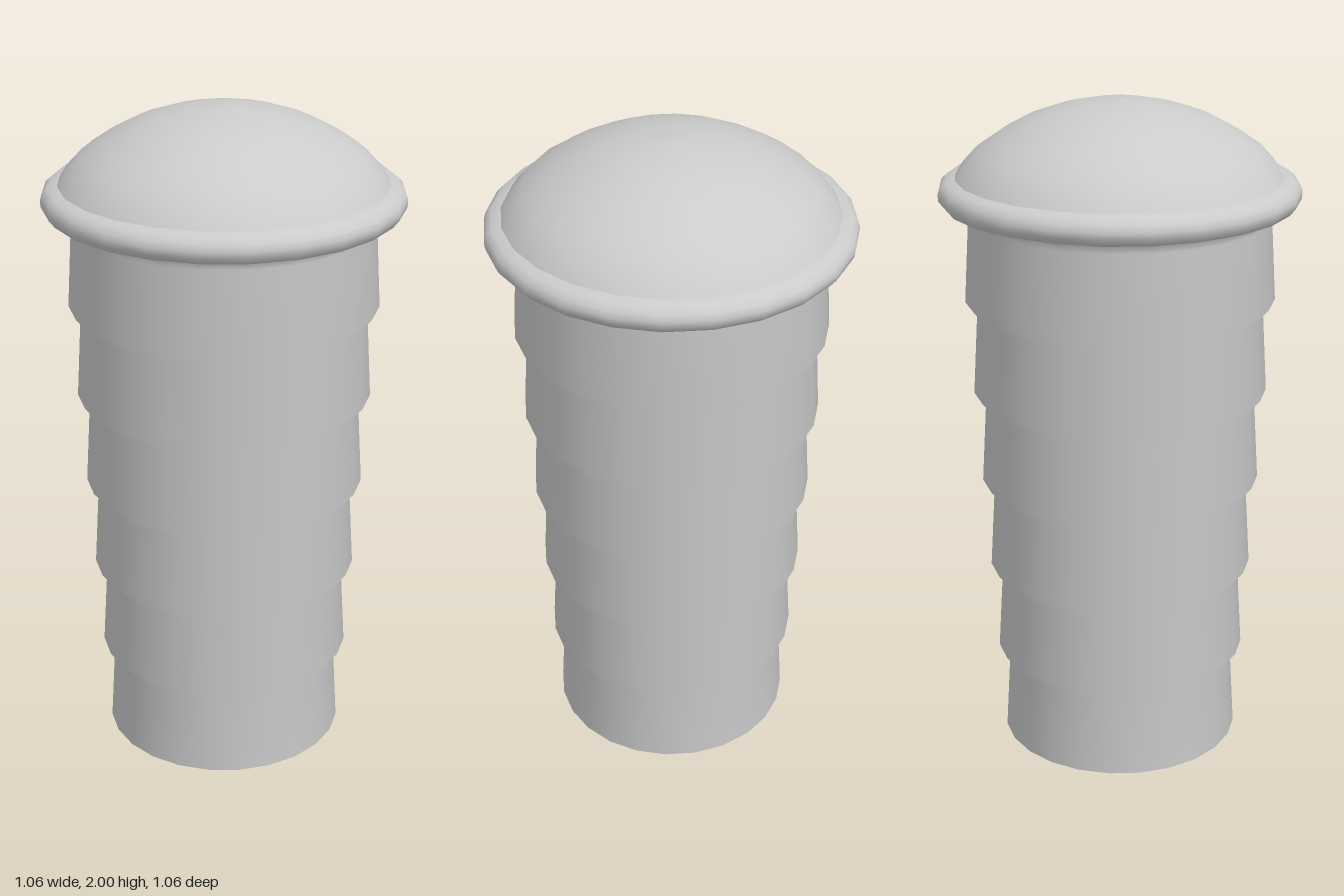
import * as THREE from 'three';

const SEGMENTS = 24;
const grey = new THREE.MeshStandardMaterial({ color: 0xcccccc });
const gold = new THREE.MeshStandardMaterial({ color: 0xc8a04a });

// Smooth turned part from [radius, height] pairs, listed bottom to top
function turned(name, profile) {
  const points = profile.map(([r, y]) => new THREE.Vector2(r, y));
  const mesh = new THREE.Mesh(new THREE.LatheGeometry(points, SEGMENTS), grey);
  mesh.name = name;
  return mesh;
}

export function createModel() {
  const group = new THREE.Group();
  group.name = 'ribbedPlug';

  // Stepped shaft: each rib flares at its lower edge, then tapers upward
  const shaft = [[0.342, 0], [0.367, 0], [0.352, 0.25]];
  const ribs = 5;
  for (let i = 0; i < ribs; i++) {
    const base = 0.287 + i * 0.2825;
    const r = 0.385 + i * 0.0187;
    shaft.push([r, base], [r - 0.015, base + 0.243]);
  }
  shaft.push([0.475, 1.7]);
  group.add(turned('shaft', shaft));

  // Rounded collar under the cap
  group.add(turned('collar', [
    [0.45, 1.69], [0.485, 1.692], [0.512, 1.7], [0.528, 1.72], [0.53, 1.738],
    [0.525, 1.757], [0.508, 1.773], [0.48, 1.78],
  ]));

  // Shallow domed cap
  group.add(turned('domeCap', [
    [0.482, 1.775], [0.458, 1.812], [0.415, 1.858], [0.35, 1.902], [0.27, 1.945],
    [0.19, 1.973], [0.1, 1.993], [0, 2],
  ]));

  // Coloured disc closing the underside
  const disc = new THREE.Mesh(new THREE.CircleGeometry(0.342, SEGMENTS), gold);
  disc.rotation.x = Math.PI / 2;
  disc.name = 'baseDisc';
  group.add(disc);

  return group;
}
